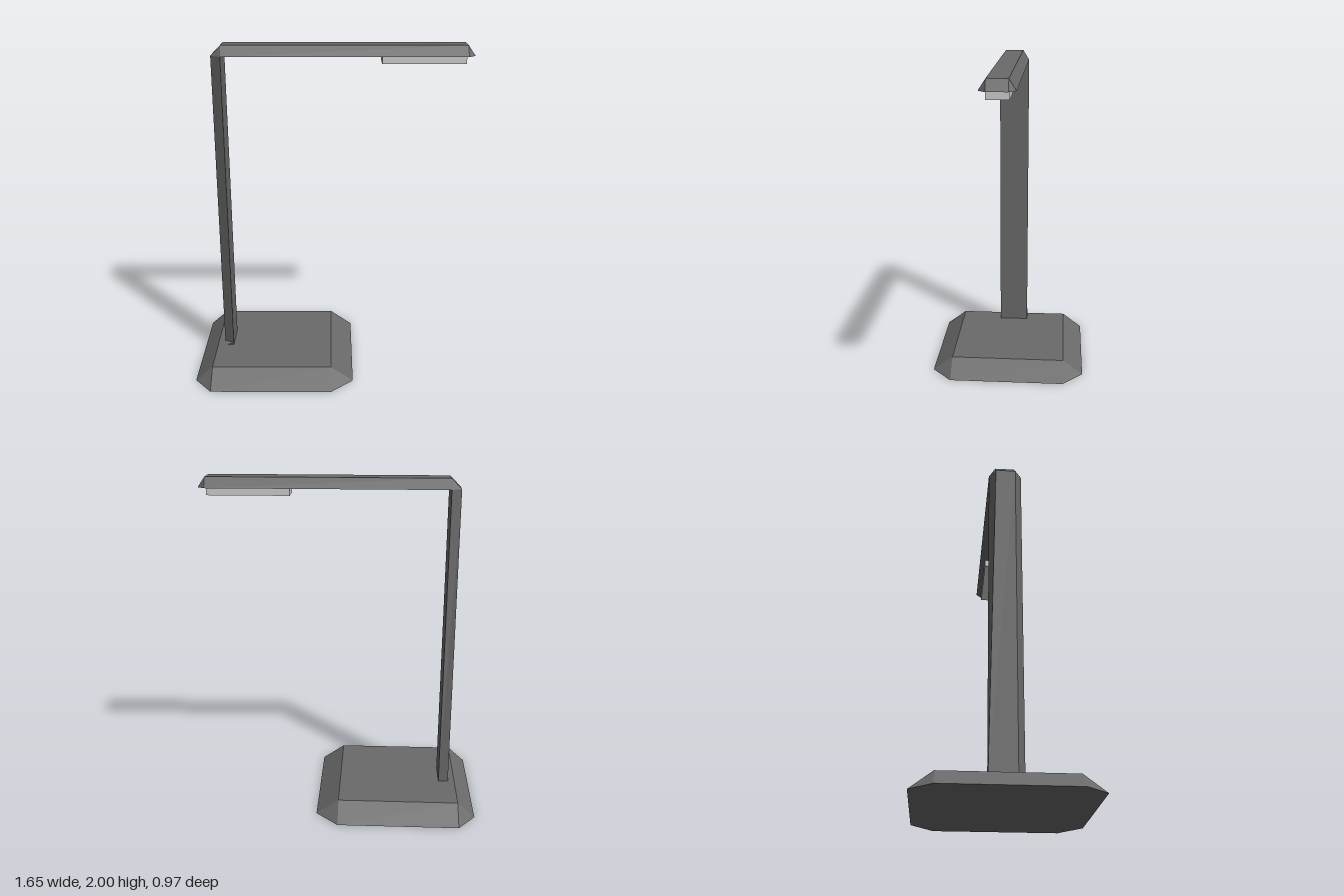
import * as THREE from 'three';

// Closed solid between two [x, z] loops (counter-clockwise seen from above).
function loft(bottom, top, y0, y1) {
  const pos = [];
  const n = bottom.length;
  const b = bottom.map(([x, z]) => new THREE.Vector3(x, y0, z));
  const t = top.map(([x, z]) => new THREE.Vector3(x, y1, z));
  const tri = (p, q, r) => {
    const area = q.clone().sub(p).cross(r.clone().sub(p)).length();
    if (area > 1e-7) for (const v of [p, q, r]) pos.push(v.x, v.y, v.z);
  };
  for (let i = 0; i < n; i++) {
    const j = (i + 1) % n;
    tri(b[i], b[j], t[j]);
    tri(b[i], t[j], t[i]);
    if (i > 0 && i < n - 1) {
      tri(t[0], t[i], t[i + 1]);
      tri(b[0], b[i + 1], b[i]);
    }
  }
  const geometry = new THREE.BufferGeometry();
  geometry.setAttribute('position', new THREE.Float32BufferAttribute(pos, 3));
  geometry.computeVertexNormals();
  return geometry;
}

// Slab with a rectangular top that flares down to a clipped-corner footprint.
function bevelSlab(outer, inner, y0, y1) {
  const [ax, bx, az, bz] = outer;
  const [cx, dx, cz, dz] = inner;
  const bottom = [
    [bx, dz], [bx, cz], [dx, az], [cx, az],
    [ax, cz], [ax, dz], [cx, bz], [dx, bz],
  ];
  const top = [
    [dx, dz], [dx, cz], [dx, cz], [cx, cz],
    [cx, cz], [cx, dz], [cx, dz], [dx, dz],
  ];
  return loft(bottom, top, y0, y1);
}

export function createModel() {
  const group = new THREE.Group();
  const dark = new THREE.MeshStandardMaterial({ color: 0x6a6a6a });
  dark.name = 'darkGrey';
  const pale = new THREE.MeshStandardMaterial({ color: 0xd0d0d0 });
  pale.name = 'paleGrey';

  const add = (name, geometry, material) => {
    const mesh = new THREE.Mesh(geometry, material);
    mesh.name = name;
    group.add(mesh);
    return mesh;
  };

  // Weighted foot
  add('base', bevelSlab([-0.825, 0.14, -0.485, 0.485], [-0.72, 0.005, -0.36, 0.36], 0, 0.095), dark);

  // Upright: wide inner face, clipped outer corners that square off at the foot
  const section = (back, front) => [[-0.62, 0.092], [-0.62, -0.098], [-0.68, back], [-0.68, front]];
  add('post', loft(section(-0.098, 0.053), section(-0.06, 0.053), 0.09, 1.94), dark);
  add('postFoot', loft(section(-0.098, 0.092), section(-0.098, 0.053), 0.09, 0.105), dark);

  // Horizontal arm
  add('arm', bevelSlab([-0.68, 0.822, -0.098, 0.092], [-0.62, 0.78, -0.06, 0.053], 1.94, 2), dark);

  // Light panel under the tip of the arm
  const panel = add('lightPanel', new THREE.BoxGeometry(0.48, 0.045, 0.12), pale);
  panel.position.set(0.535, 1.9175, -0.004);

  return group;
}
